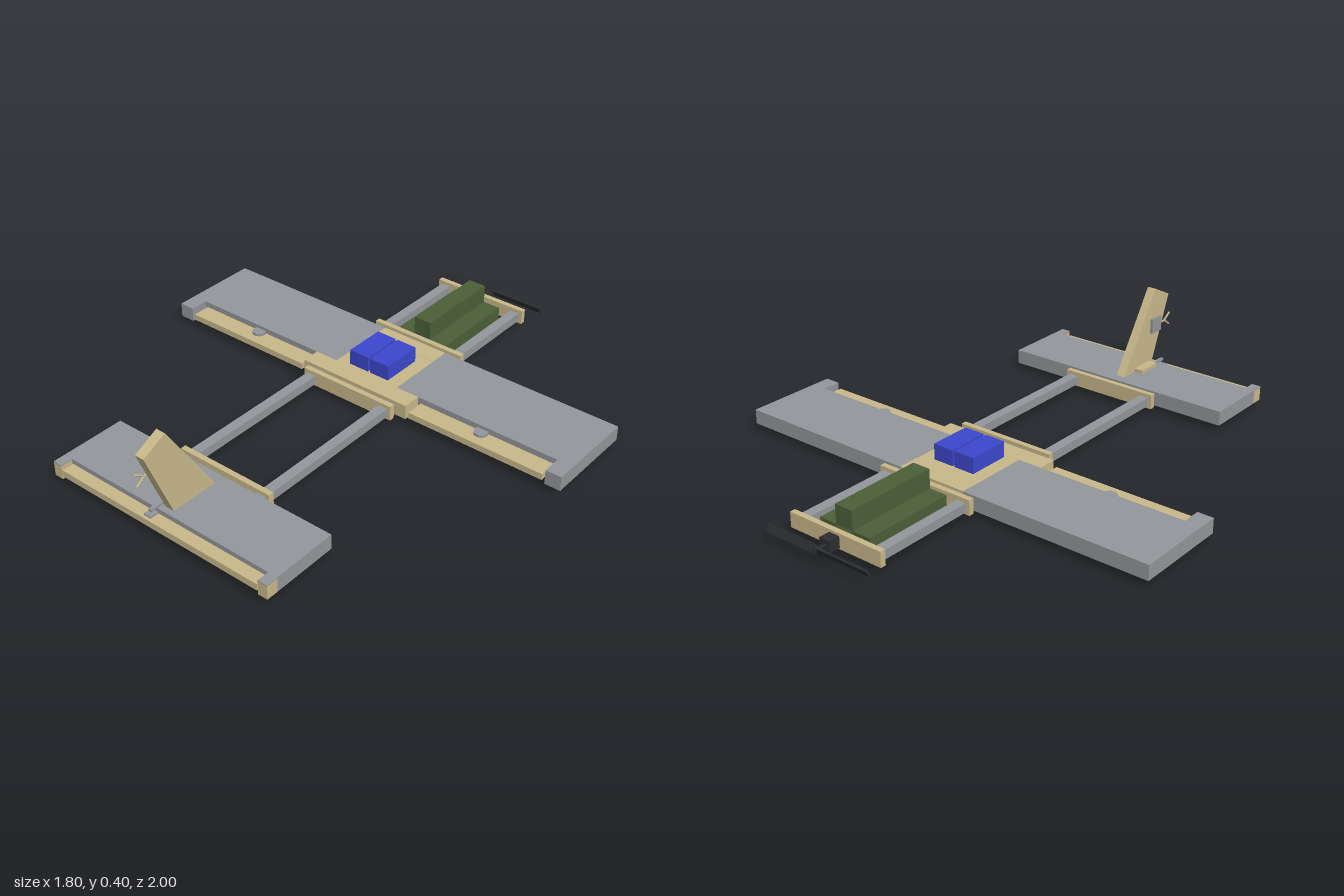
import * as THREE from 'three';

const mat = (name, color) => new THREE.MeshStandardMaterial({ name, color });

export function createModel() {
  const wood = mat('wood', 0xc8b88a);
  const foam = mat('greyFoam', 0x93969b);
  const blue = mat('blue', 0x3c47cc);
  const green = mat('green', 0x4b5f38);
  const black = mat('black', 0x2c2d2f);

  const root = new THREE.Group();
  root.name = 'twinBoomPlane';

  const add = (name, geometry, material, parent = root) => {
    const mesh = new THREE.Mesh(geometry, material);
    mesh.name = name;
    parent.add(mesh);
    return mesh;
  };
  // Box given by its limits on each axis
  const box = (name, material, [x0, x1], [y0, y1], [z0, z1]) => {
    const g = new THREE.BoxGeometry(Math.abs(x1 - x0), y1 - y0, z1 - z0);
    g.translate((x0 + x1) / 2, (y0 + y1) / 2, (z0 + z1) / 2);
    return add(name, g, material);
  };
  // Flat slab from an outline of [x, z] points
  const slab = (name, material, points, y0, y1) => {
    const shape = new THREE.Shape(points.map(([x, z]) => new THREE.Vector2(x, -z)));
    const g = new THREE.ExtrudeGeometry(shape, { depth: y1 - y0, bevelEnabled: false });
    g.rotateX(-Math.PI / 2).translate(0, y0, 0);
    return add(name, g, material);
  };
  // Thin rod between two points
  const rod = (name, material, a, b, radius) => {
    const p = new THREE.Vector3(...a), q = new THREE.Vector3(...b);
    const mesh = add(name, new THREE.CylinderGeometry(radius, radius, p.distanceTo(q), 8), material);
    mesh.position.copy(p).add(q).multiplyScalar(0.5);
    mesh.quaternion.setFromUnitVectors(new THREE.Vector3(0, 1, 0), q.sub(p).normalize());
  };

  const LOW = 0.025, TOP = 0.083;

  for (const s of [-1, 1]) {
    // Main wing panel with a cut-out for the aileron
    slab('wingPanel', foam, [
      [s * 0.145, -0.443], [s * 0.9, -0.443], [s * 0.9, -0.065],
      [s * 0.837, -0.065], [s * 0.837, -0.14], [s * 0.145, -0.14],
    ], LOW, TOP);
    box('aileron', wood, [s * 0.255, s * 0.825], [0.035, 0.06], [-0.14, -0.065]);

    // Aileron control horn
    const horn = add('aileronHorn', new THREE.CylinderGeometry(0.027, 0.027, 0.012, 16), foam);
    horn.position.set(s * 0.53, 0.064, -0.127);

    // Boom joining nose, wing and tail
    box('boom', foam, [s * 0.15, s * 0.19], [0.035, 0.07], [-0.89, 0.66]);

    // Batteries and side cargo
    box('battery', blue, [s * 0.005, s * 0.09], [TOP, 0.145], [-0.325, -0.155]);
    box('sidePack', green, [s * 0.037, s * 0.112], [0, 0.078], [-0.862, -0.49]);

    // Tail tip beside the elevator, with a grey skin on top
    box('tailTip', wood, [s * 0.452, s * 0.49], [LOW, TOP - 0.004], [0.912, 0.96]);
    box('tailTipSkin', foam, [s * 0.452, s * 0.49], [TOP - 0.004, TOP], [0.912, 0.96]);
  }
  box('centrePack', green, [-0.037, 0.037], [0.078, 0.153], [-0.862, -0.49]);

  // Wing centre section, wider at the trailing edge
  slab('wingCentre', wood, [
    [-0.145, -0.365], [0.145, -0.365], [0.145, -0.14], [0.242, -0.14],
    [0.242, -0.065], [-0.242, -0.065], [-0.242, -0.14], [-0.145, -0.14],
  ], LOW, TOP);
  box('wingCentreFront', wood, [-0.145, 0.145], [LOW, TOP + 0.001], [-0.443, -0.365]);

  // Cross bars holding the booms
  for (const z of [-0.897, -0.47, -0.033, 0.622]) {
    box('crossBar', wood, [-0.205, 0.205], [0.026, 0.085], [z - 0.011, z + 0.011]);
  }

  // Tailplane and elevator
  box('tailplane', foam, [-0.49, 0.49], [LOW, TOP], [0.652, 0.912]);
  box('elevator', wood, [-0.448, 0.448], [0.038, 0.064], [0.912, 0.96]);

  // Swept fin, profile in z and y
  const fin = new THREE.Shape([[0.695, TOP], [0.888, TOP], [0.995, 0.355], [0.898, 0.403]]
    .map(([z, y]) => new THREE.Vector2(-z, y)));
  const finGeo = new THREE.ExtrudeGeometry(fin, { depth: 0.038, bevelEnabled: false });
  finGeo.rotateY(Math.PI / 2).translate(-0.02, 0, 0);
  add('fin', finGeo, wood);

  // Elevator servo, arm and horn
  box('elevatorServo', wood, [-0.057, -0.02], [TOP, 0.098], [0.765, 0.872]);
  box('elevatorArm', foam, [-0.045, -0.033], [0.084, 0.094], [0.872, 0.94]);
  box('elevatorHorn', foam, [-0.062, -0.03], [0.064, 0.07], [0.912, 0.948]);

  // Fin servo with forked arm
  box('finServo', foam, [-0.03, -0.02], [0.218, 0.28], [0.87, 0.935]);
  rod('finServoArm', wood, [-0.026, 0.25, 0.92], [-0.026, 0.25, 0.965], 0.004);
  for (const y of [0.225, 0.275]) {
    rod('finServoFork', wood, [-0.026, 0.25, 0.962], [-0.026, y, 0.997], 0.004);
  }

  // Motor, shaft and two-blade propeller
  box('motor', black, [-0.023, 0.023], [0.031, 0.075], [-0.952, -0.908]);
  rod('propellerShaft', black, [0, 0.053, -0.95], [0, 0.053, -1], 0.007);
  for (const s of [-1, 1]) {
    const blade = add('propellerBlade', new THREE.BoxGeometry(0.23, 0.03, 0.008), black);
    blade.position.set(s * 0.115, 0.053, -0.987);
    blade.rotation.x = s * 0.5;
  }
  return root;
}
